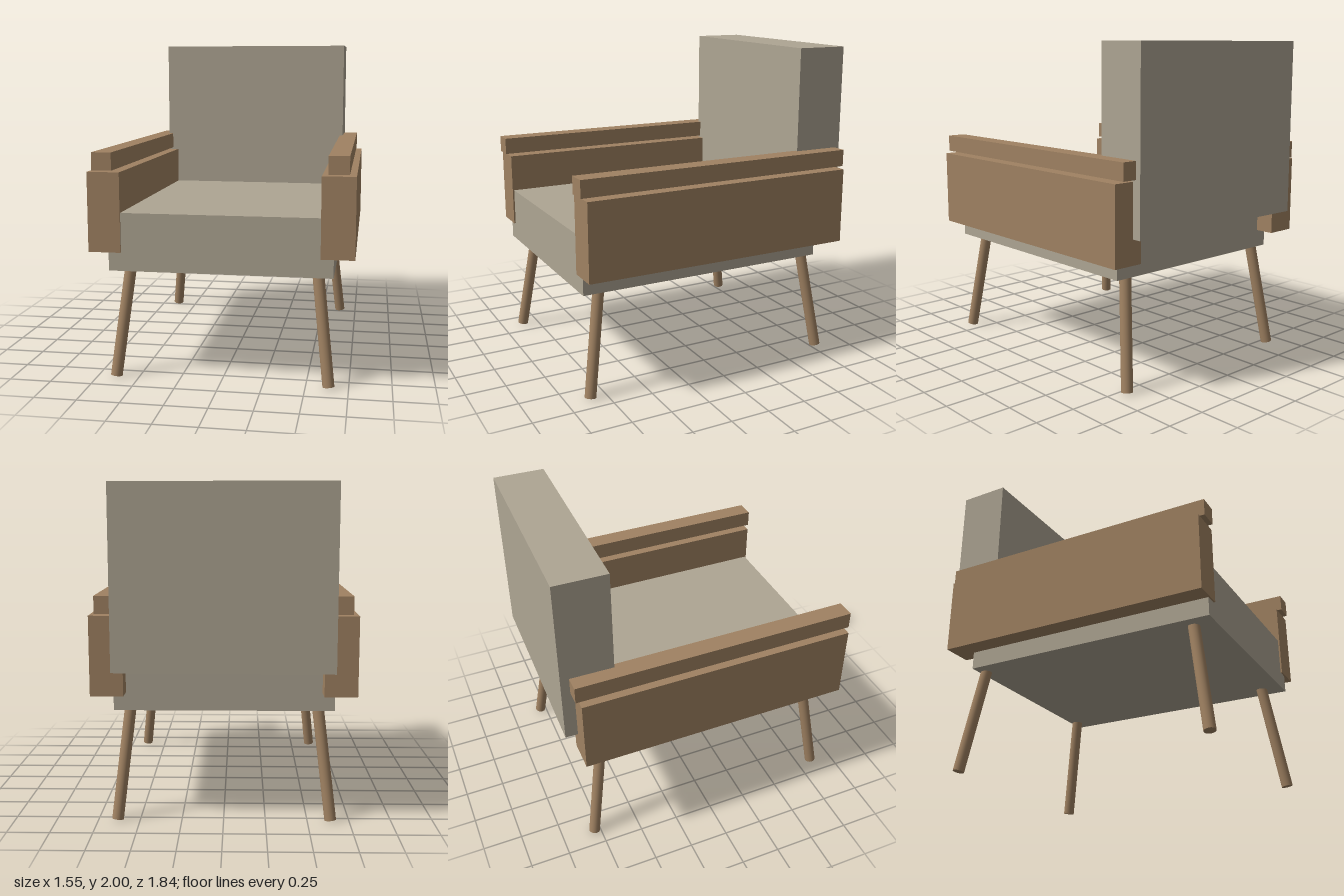
import * as THREE from 'three';

export function createModel() {
  const chair = new THREE.Group();
  chair.name = 'armchair';
  const fabric = new THREE.MeshStandardMaterial({ color: 0xaea593 });
  const wood = new THREE.MeshStandardMaterial({ color: 0xa08262 });

  // Box given by its extents along each axis
  function box(name, material, [x0, x1], [y0, y1], [z0, z1]) {
    const mesh = new THREE.Mesh(new THREE.BoxGeometry(x1 - x0, y1 - y0, z1 - z0), material);
    mesh.position.set((x0 + x1) / 2, (y0 + y1) / 2, (z0 + z1) / 2);
    mesh.name = name;
    chair.add(mesh);
    return mesh;
  }

  // Cylinder between two points
  function rod(name, material, from, to, radius) {
    const axis = to.clone().sub(from);
    const mesh = new THREE.Mesh(new THREE.CylinderGeometry(radius, radius, axis.length(), 24), material);
    mesh.position.copy(from).add(to).multiplyScalar(0.5);
    mesh.quaternion.setFromUnitVectors(new THREE.Vector3(0, 1, 0), axis.normalize());
    mesh.name = name;
    chair.add(mesh);
  }

  // Cushions; the back sits very slightly askew
  box('seat', fabric, [-0.66, 0.655], [0.66, 1.005], [-0.728, 0.888]);
  const back = box('backrest', fabric, [-0.648, 0.642], [0.92, 2], [-0.913, -0.59]);
  back.rotation.y = -0.0155;

  const cx = -0.002; // shared centre line of the wooden frame
  for (const [side, s] of [['left', 1], ['right', -1]]) {
    const span = (inner, outer) => [cx + s * inner, cx + s * outer].sort((a, b) => a - b);

    // Arm: deep side panel with a narrow rail floating just above it
    box(side + 'ArmPanel', wood, span(0.583, 0.777), [0.77, 1.243], [-0.846, 0.898]);
    box(side + 'ArmRail', wood, span(0.621, 0.739), [1.255, 1.36], [-0.869, 0.921]);

    // Splayed legs
    for (const [end, zFoot, zTop] of [['Front', 0.852, 0.753], ['Back', -0.79, -0.69]]) {
      rod(side + end + 'Leg', wood,
        new THREE.Vector3(cx + s * 0.636, 0.007, zFoot),
        new THREE.Vector3(cx + s * 0.561, 0.67, zTop), 0.035);
    }
  }
  return chair;
}
